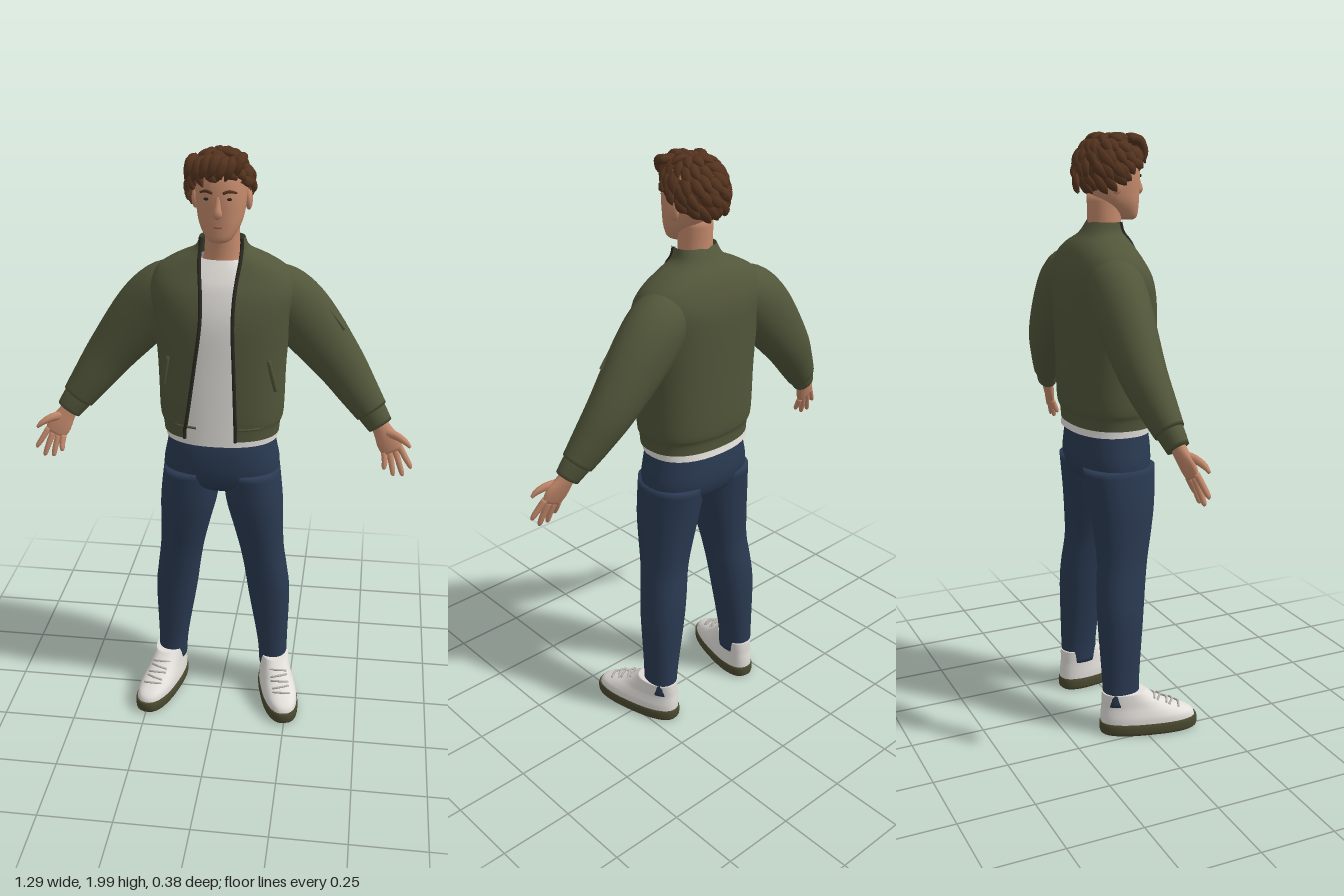
import * as THREE from 'three';

const V = (x, y, z) => new THREE.Vector3(x, y, z);
const mat = (name, color, side = THREE.FrontSide) => {
  const m = new THREE.MeshStandardMaterial({ color, side });
  m.name = name;
  return m;
};

// Catmull-Rom interpolation of numeric rows
function smooth(rows, n) {
  const out = [], at = i => rows[Math.min(Math.max(i, 0), rows.length - 1)];
  for (let i = 0; i < rows.length - 1; i++) for (let k = 0; k < n; k++) {
    const t = k / n;
    out.push(rows[i].map((b, c) => {
      const a = at(i - 1)[c], d = at(i + 1)[c], e = at(i + 2)[c];
      return 0.5 * (2 * b + (d - a) * t + (2 * a - 5 * b + 4 * d - e) * t * t + (3 * b - a - 3 * d + e) * t * t * t);
    }));
  }
  out.push(rows[rows.length - 1]);
  return out;
}

// skin a list of point rings; closed rings wrap around, and ends may be capped
function loft(rings, closed = true, cap = false) {
  const mid = r => r.reduce((s, p) => s.add(p), V(0, 0, 0)).divideScalar(r.length);
  if (cap) {
    const a = mid(rings[0]), b = mid(rings[rings.length - 1]);
    rings = [rings[0].map(() => a), ...rings, rings[0].map(() => b)];
  }
  const n = rings[0].length, m = closed ? n : n - 1, idx = [];
  for (let i = 0; i < rings.length - 1; i++) for (let j = 0; j < m; j++) {
    const a = i * n + j, b = i * n + (j + 1) % n;
    idx.push(a, b, b + n, a, b + n, a + n);
  }
  const g = new THREE.BufferGeometry().setFromPoints(rings.flat());
  g.setIndex(idx);
  g.computeVertexNormals();
  return g;
}

const pw = (s, p) => Math.sign(s) * Math.pow(Math.abs(s), 2 / p);

// upright rings from rows [y, centreX, halfWidth, zFront, zBack, gapLeft, gapRight]
function bodyRings(rows, p = 2.2, n = 36, sub = 4) {
  return smooth(rows, sub).map(([y, cx, hw, zf, zb, gl, gr]) => {
    const open = gl !== undefined;
    const edge = g => open ? Math.asin(Math.pow(Math.min(g / hw, 0.95), p / 2)) : 0;
    const a = edge(gl), b = 2 * Math.PI - edge(gr);
    return Array.from({ length: n }, (_, j) => {
      const th = a + (b - a) * j / (open ? n - 1 : n);
      return V(cx + hw * pw(Math.sin(th), p), y, (zf + zb) / 2 + (zf - zb) / 2 * pw(Math.cos(th), p));
    });
  });
}
const body = (rows, p, cap = true) => loft(bodyRings(rows, p), true, cap);

// round limb along rows [x, y, z, radiusAcross, radiusTowardRef]
function limb(rows, ref = V(0, 0, 1), n = 12, sub = 3) {
  const s = smooth(rows, sub), pt = r => V(r[0], r[1], r[2]);
  return loft(s.map((r, i) => {
    const d = pt(s[Math.min(i + 1, s.length - 1)]).sub(pt(s[Math.max(i - 1, 0)])).normalize();
    const v = ref.clone().addScaledVector(d, -ref.dot(d)).normalize(), u = d.clone().cross(v);
    return Array.from({ length: n }, (_, j) => {
      const th = j / n * 2 * Math.PI;
      return pt(r).addScaledVector(u, r[3] * Math.sin(th)).addScaledVector(v, r[4] * Math.cos(th));
    });
  }), true, true);
}

const ball = (x, y, z, rx, ry, rz) => new THREE.SphereGeometry(1, 16, 12).scale(rx, ry, rz).translate(x, y, z);

function mirrored(geo) {
  const g = geo.clone().scale(-1, 1, 1), ix = g.index;
  for (let i = 0; i < ix.count; i += 3) {
    const t = ix.getX(i);
    ix.setX(i, ix.getX(i + 1));
    ix.setX(i + 1, t);
  }
  g.computeVertexNormals();
  return g;
}

export function createModel() {
  const root = new THREE.Group();
  root.name = 'standingMan';
  const olive = mat('olive cloth', 0x52563a, THREE.DoubleSide), denim = mat('dark denim', 0x2a3a52);
  const white = mat('white cloth', 0xe2dfda, THREE.DoubleSide), skin = mat('skin', 0xc48a6c);
  const brown = mat('brown hair', 0x54331e), dark = mat('dark trim', 0x2a2820);
  const lipTone = mat('lips', 0xa8685a), grey = mat('laces', 0xb8b4ae), soleTone = mat('sole', 0x4b4a30);
  const add = (name, geo, m) => {
    const mesh = new THREE.Mesh(geo, m);
    mesh.name = name;
    root.add(mesh);
  };
  const pair = (name, geo, m) => { add(name + 'Left', geo, m); add(name + 'Right', mirrored(geo), m); };

  // jeans
  add('jeansHips', body([[0.845, 0, 0.1, 0.04, -0.1], [0.875, 0, 0.185, 0.075, -0.145], [0.93, 0, 0.198, 0.09, -0.165],
    [1.0, 0, 0.186, 0.09, -0.163], [1.05, 0, 0.176, 0.08, -0.155]], 2.3), denim);
  pair('jeansLeg', body([[0.105, 0.187, 0.05, -0.002, -0.128], [0.2, 0.183, 0.054, -0.002, -0.13], [0.4, 0.168, 0.073, 0.015, -0.137],
    [0.5, 0.156, 0.075, 0.027, -0.135], [0.6, 0.141, 0.077, 0.042, -0.126], [0.7, 0.127, 0.087, 0.062, -0.132],
    [0.8, 0.113, 0.098, 0.078, -0.142], [0.92, 0.1, 0.098, 0.086, -0.158]], 2.2), denim);

  // shirt
  add('shirt', body([[1.032, 0, 0.188, 0.092, -0.174], [1.1, 0, 0.19, 0.09, -0.165], [1.3, 0, 0.193, 0.086, -0.168],
    [1.45, 0, 0.2, 0.084, -0.17], [1.55, 0, 0.19, 0.064, -0.168], [1.6, 0, 0.15, 0.042, -0.15],
    [1.645, 0, 0.075, 0.016, -0.11]], 2.3, false), white);

  // open jacket with zip edges
  const jacket = bodyRings([[1.055, 0, 0.193, 0.1, -0.172, 0.06, 0.11], [1.09, 0, 0.197, 0.102, -0.174, 0.06, 0.108],
    [1.13, 0, 0.207, 0.106, -0.184, 0.06, 0.1], [1.3, 0, 0.212, 0.108, -0.188, 0.055, 0.075],
    [1.45, 0, 0.225, 0.105, -0.192, 0.05, 0.055], [1.54, 0, 0.238, 0.083, -0.19, 0.052, 0.055],
    [1.6, 0, 0.215, 0.05, -0.172, 0.058, 0.062], [1.64, 0, 0.155, 0.03, -0.15, 0.064, 0.066],
    [1.672, 0, 0.09, 0.016, -0.118, 0.066, 0.066], [1.71, 0, 0.073, 0.012, -0.092, 0.066, 0.066]], 2.3, 60);
  add('jacketBody', loft(jacket, false), olive);
  for (const [name, k] of [['zipLeft', 0], ['zipRight', 59]])
    add(name, new THREE.TubeGeometry(new THREE.CatmullRomCurve3(jacket.map(r => r[k])), 60, 0.006, 6), dark);
  pair('jacketPocket', limb([[0.163, 1.335, 0.068, 0.007, 0.006], [0.175, 1.28, 0.06, 0.008, 0.007], [0.186, 1.225, 0.047, 0.007, 0.006]]), olive);
  pair('hemBand', limb([[0.07, 1.1, 0.097, 0.004, 0.004], [0.13, 1.1, 0.078, 0.004, 0.004], [0.175, 1.1, 0.035, 0.004, 0.004]]), olive);

  // sleeves, cuffs and sleeve pocket
  pair('sleeve', limb([[0.13, 1.545, -0.075, 0.08, 0.08], [0.195, 1.505, -0.085, 0.102, 0.09], [0.27, 1.425, -0.09, 0.105, 0.086],
    [0.38, 1.29, -0.086, 0.084, 0.072], [0.45, 1.195, -0.068, 0.068, 0.058], [0.498, 1.13, -0.053, 0.056, 0.046]], undefined, 28, 5), olive);
  pair('cuff', limb([[0.488, 1.143, -0.056, 0.05, 0.043], [0.505, 1.12, -0.049, 0.049, 0.04], [0.53, 1.085, -0.04, 0.043, 0.034]], undefined, 24), olive);
  add('sleevePocket', new THREE.BoxGeometry(0.014, 0.1, 0.07).rotateZ(0.68).translate(0.362, 1.447, -0.085), olive);

  // hands, palms forward
  pair('palm', limb([[0.512, 1.11, -0.045, 0.03, 0.022], [0.535, 1.075, -0.035, 0.031, 0.02],
    [0.56, 1.035, -0.022, 0.041, 0.017], [0.576, 1.003, -0.013, 0.036, 0.012]], undefined, 18), skin);
  const fingers = [[0.598, 1.022, 0.635, 0.955], [0.583, 1.01, 0.61, 0.926], [0.565, 1.0, 0.58, 0.925], [0.548, 0.997, 0.55, 0.946]];
  for (const [x, y, tx, ty] of fingers)
    pair('finger', limb([[x, y, -0.014, 0.011, 0.01], [(x + tx) / 2 + 0.002, (y + ty) / 2, -0.002, 0.01, 0.01],
      [tx, ty + 0.008, 0.006, 0.008, 0.008], [tx, ty, 0.008, 0.004, 0.004]], undefined, 10), skin);
  pair('thumb', limb([[0.55, 1.065, -0.028, 0.018, 0.015], [0.585, 1.062, -0.01, 0.014, 0.013],
    [0.615, 1.048, 0.004, 0.01, 0.01], [0.632, 1.032, 0.01, 0.005, 0.005]], undefined, 10), skin);

  // neck, head and ears
  add('neck', body([[1.6, 0, 0.075, 0.02, -0.11], [1.66, 0, 0.058, 0.01, -0.095], [1.8, 0, 0.054, 0.02, -0.098]], 2), skin);
  add('head', body([[1.712, 0, 0.024, 0.06, 0.015], [1.724, 0, 0.042, 0.07, -0.01], [1.76, 0, 0.064, 0.073, -0.06],
    [1.8, 0, 0.075, 0.075, -0.1], [1.86, 0, 0.081, 0.077, -0.124], [1.92, 0, 0.077, 0.068, -0.122],
    [1.955, 0, 0.055, 0.04, -0.09], [1.965, 0, 0.02, 0, -0.05]], 2.25), skin);
  add('nose', limb([[0, 1.862, 0.068, 0.008, 0.008], [0, 1.83, 0.077, 0.01, 0.01], [0, 1.807, 0.081, 0.015, 0.014],
    [0, 1.796, 0.076, 0.01, 0.009]]), skin);
  pair('ear', ball(0.084, 1.83, -0.035, 0.012, 0.033, 0.021).rotateY(0), skin);
  pair('eye', ball(0.033, 1.851, 0.069, 0.011, 0.005, 0.004), dark);
  pair('brow', limb([[0.016, 1.869, 0.075, 0.004, 0.004], [0.035, 1.875, 0.07, 0.005, 0.004], [0.056, 1.868, 0.055, 0.003, 0.003]]), brown);
  add('mouth', limb([[-0.024, 1.766, 0.066, 0.002, 0.002], [0, 1.765, 0.072, 0.006, 0.004], [0.024, 1.766, 0.066, 0.002, 0.002]]), lipTone);

  // hair cap, longer at the back, under swirling locks
  const hairPoint = (a, phi, k = 1) => V(-0.005 + 0.096 * k * Math.sin(phi) * Math.sin(a),
    1.868 + 0.108 * k * Math.cos(phi), -0.028 + 0.105 * k * Math.sin(phi) * Math.cos(a));
  const phiMax = a => 1.7 - 0.58 * Math.cos(a);
  add('hairCap', loft(Array.from({ length: 15 }, (_, i) => Array.from({ length: 36 }, (_, j) => {
    const a = j / 36 * 2 * Math.PI;
    return hairPoint(a, phiMax(a) * (1 - i / 14));
  }))), brown);
  let seed = 7;
  const rnd = () => (seed = (seed * 16807) % 2147483647) / 2147483647;
  for (const [count, start, len] of [[9, 0.05, 0.6], [15, 0.4, 0.6], [20, 0.75, 0.6], [22, 1.15, 0.55], [22, 1.55, 0.5]])
    for (let i = 0; i < count; i++) {
      const a = (i + rnd() * 0.6) / count * 2 * Math.PI, phi = start + rnd() * 0.15;
      const end = Math.min(phi + len, phiMax(a) + 0.06);
      if (end - phi < 0.2) continue;
      const swirl = 0.2 + rnd() * 0.35, lift = 1.05 + rnd() * 0.08;
      const row = (t, k, w, h) => [...hairPoint(a + swirl * t, phi + (end - phi) * t, k).toArray(), w, h];
      const ref = hairPoint(a, (phi + end) / 2).sub(V(-0.005, 1.868, -0.028)).normalize();
      add('hairLock', limb([row(0, 0.98, 0.008, 0.006), row(0.4, 1.05, 0.017, 0.011), row(0.75, lift, 0.014, 0.009),
        row(1, lift + 0.02, 0.002, 0.002)], ref, 7), brown);
    }
  // tousled fringe
  for (let i = 0; i < 7; i++) {
    const x = -0.078 + i * 0.025, y = 1.945 + 0.012 * rnd(), z = 0.035 + 0.035 * (1 - Math.pow(x / 0.09, 2));
    add('fringeLock', limb([[x, y + 0.015, z - 0.035, 0.014, 0.012], [x - 0.006, y + 0.01, z, 0.018, 0.014],
      [x - 0.016, y - 0.02, z + 0.014, 0.013, 0.009], [x - 0.026, y - 0.043, z + 0.008, 0.002, 0.002]], V(0, 0.5, 1).normalize(), 8), brown);
  }

  // shoes, toes turned out
  const place = g => g.rotateY(0.24).translate(0.19, 0, -0.065);
  pair('shoeSole', place(body([[0, 0.002, 0.058, 0.252, -0.07], [0.008, 0.002, 0.064, 0.261, -0.076],
    [0.03, 0.002, 0.065, 0.263, -0.077], [0.042, 0.002, 0.062, 0.26, -0.075]], 2.5)), soleTone);
  pair('shoeUpper', place(body([[0.035, 0.002, 0.062, 0.256, -0.073], [0.06, 0.002, 0.061, 0.245, -0.073],
    [0.08, 0.001, 0.057, 0.205, -0.072], [0.1, 0, 0.053, 0.155, -0.07], [0.125, 0, 0.051, 0.11, -0.069],
    [0.15, 0, 0.05, 0.078, -0.067]], 2.4)), white);
  for (let i = 0; i < 5; i++) {
    const z = 0.112 + i * 0.021, y = 0.128 - i * 0.0098, tilt = i % 2 ? 0.006 : -0.006;
    pair('lace', place(limb([[-0.03, y - 0.006, z - 0.01 + tilt, 0.004, 0.004], [0, y + 0.001, z, 0.004, 0.004],
      [0.03, y - 0.006, z - 0.01 - tilt, 0.004, 0.004]], V(0, 1, 0), 6)), grey);
  }
  return root;
}
